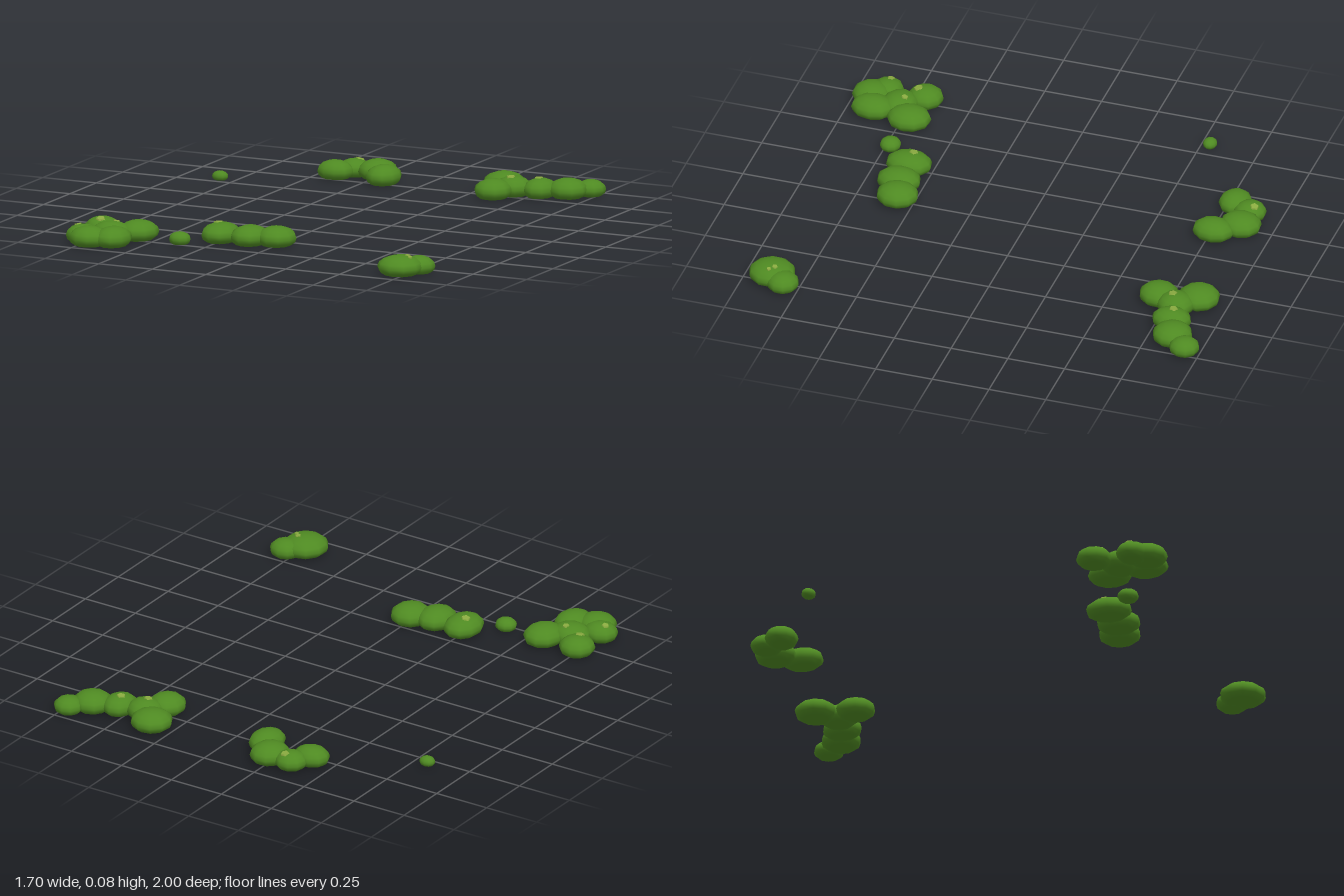
import * as THREE from 'three';
import { mergeVertices } from 'three/addons/utils/BufferGeometryUtils.js';

// Each bush: centre x, centre z, half width x, half width z
const clumps = {
  backRightClump: [[-0.4, -0.79, 0.08, 0.07], [-0.35, -0.87, 0.07, 0.07], [-0.24, -0.865, 0.083, 0.09], [-0.165, -0.77, 0.073, 0.09]],
  backLeftClump: [[0.345, -0.875, 0.09, 0.09], [0.425, -0.8, 0.08, 0.08], [0.375, -0.71, 0.08, 0.085],
    [0.54, -0.82, 0.07, 0.085], [0.65, -0.86, 0.085, 0.085], [0.72, -0.935, 0.064, 0.065]],
  tinyBush: [[-0.815, -0.54, 0.035, 0.03]],
  frontRightClump: [[-0.755, 0.695, 0.077, 0.077], [-0.58, 0.71, 0.085, 0.095], [-0.67, 0.78, 0.09, 0.08],
    [-0.76, 0.865, 0.077, 0.07], [-0.71, 0.915, 0.085, 0.085], [-0.615, 0.88, 0.077, 0.095]],
  smallBush: [[-0.38, 0.725, 0.047, 0.045]],
  frontMiddleClump: [[-0.25, 0.6, 0.08, 0.1], [-0.115, 0.6, 0.08, 0.095], [-0.005, 0.57, 0.085, 0.09]],
  frontLeftClump: [[0.725, 0.88, 0.098, 0.1], [0.78, 0.815, 0.07, 0.068]],
};

// Pale tufts: x, z, radius
const tufts = [[-0.335, -0.895, 0.02], [0.42, -0.785, 0.02], [0.53, -0.825, 0.02], [-0.27, 0.585, 0.021],
  [-0.75, 0.725, 0.021], [-0.66, 0.755, 0.016], [-0.79, 0.858, 0.017], [0.75, 0.86, 0.014], [0.77, 0.88, 0.011]];

const bushHeight = (rx, rz) => 0.081 * Math.min(1, (rx + rz) / 0.16) ** 0.8;

// Low rounded bush with a flat foot
function bushGeometry(rx, rz, turn) {
  let geo = new THREE.SphereGeometry(1, 10, 8);
  geo.rotateY(turn);
  const h = bushHeight(rx, rz), mid = h * 0.4;
  const p = geo.attributes.position;
  for (let i = 0; i < p.count; i++) {
    const y = p.getY(i);
    p.setXYZ(i, p.getX(i) * rx, y > 0 ? mid + y * (h - mid) : Math.max(0, mid + y * mid * 1.5), p.getZ(i) * rz);
  }
  geo.deleteAttribute('uv');
  geo.deleteAttribute('normal');
  geo = mergeVertices(geo, 1e-5);
  geo.computeVertexNormals();
  return geo;
}

// Height of the leaf surface at a ground point
function surfaceHeight(x, z) {
  let top = 0;
  for (const [cx, cz, rx, rz] of Object.values(clumps).flat()) {
    const d = ((x - cx) / rx) ** 2 + ((z - cz) / rz) ** 2;
    const h = bushHeight(rx, rz);
    if (d < 1) top = Math.max(top, h * (0.4 + 0.6 * Math.sqrt(1 - d)));
  }
  return top;
}

export function createModel() {
  const model = new THREE.Group();
  model.name = 'bushes';
  const leafGreen = new THREE.MeshStandardMaterial({ color: 0x4f8a22 });
  leafGreen.name = 'leaf green';
  const paleGreen = new THREE.MeshStandardMaterial({ color: 0x8aab40 });
  paleGreen.name = 'pale green';

  // Bush clumps
  let n = 0;
  for (const [name, bushes] of Object.entries(clumps)) {
    const clump = new THREE.Group();
    clump.name = name;
    for (const [x, z, rx, rz] of bushes) {
      const bush = new THREE.Mesh(bushGeometry(rx, rz, n++ * 1.3), leafGreen);
      bush.name = 'bush';
      bush.position.set(x, 0, z);
      clump.add(bush);
    }
    model.add(clump);
  }

  // Pale tufts lying on the leaves, tilted with the slope
  const up = new THREE.Vector3(0, 1, 0), e = 0.008;
  tufts.forEach(([x, z, r], i) => {
    const tuft = new THREE.Mesh(new THREE.CylinderGeometry(r * 0.85, r, 0.006, 5), paleGreen);
    tuft.name = 'paleTuft';
    const slope = new THREE.Vector3(surfaceHeight(x - e, z) - surfaceHeight(x + e, z), 2 * e,
      surfaceHeight(x, z - e) - surfaceHeight(x, z + e)).normalize();
    tuft.quaternion.setFromUnitVectors(up, slope);
    tuft.rotateY(i);
    tuft.position.set(x, surfaceHeight(x, z), z);
    model.add(tuft);
  });
  return model;
}
